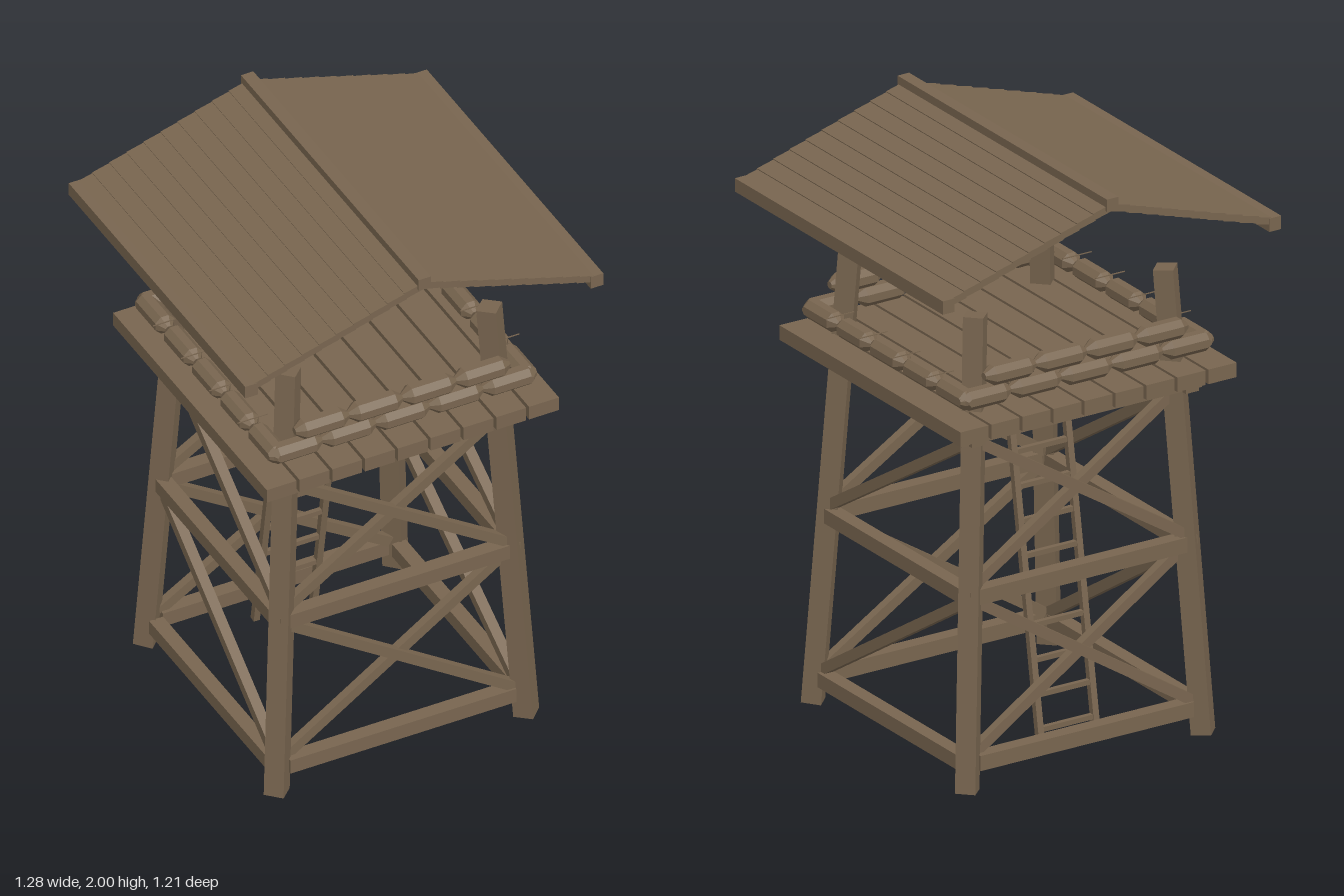
import * as THREE from 'three';

const wood = new THREE.MeshStandardMaterial({ color: 0x78654f, flatShading: true });
wood.name = 'weathered wood';

const V = (x, y, z) => new THREE.Vector3(x, y, z);

export function createModel() {
  const model = new THREE.Group();
  model.name = 'watchtower';

  const group = (name) => {
    const g = new THREE.Group();
    g.name = name;
    model.add(g);
    return g;
  };
  const add = (parent, name, geometry) => {
    const m = new THREE.Mesh(geometry, wood);
    m.name = name;
    parent.add(m);
    return m;
  };
  const box = (parent, name, w, h, d, x, y, z) => {
    const m = add(parent, name, new THREE.BoxGeometry(w, h, d));
    m.position.set(x, y, z);
    return m;
  };
  // Square timber between two points; hint sets which way one face looks
  const bar = (parent, name, a, b, w, d, hint) => {
    const m = add(parent, name, new THREE.BoxGeometry(w, a.distanceTo(b), d));
    const up = b.clone().sub(a).normalize();
    const side = up.clone().cross(hint).normalize();
    const face = side.clone().cross(up);
    m.quaternion.setFromRotationMatrix(new THREE.Matrix4().makeBasis(side, up, face));
    m.position.copy(a).add(b).multiplyScalar(0.5);
    return m;
  };

  // Four leaning legs, turned to face the diagonals
  const legs = group('legs');
  for (const sx of [-1, 1]) for (const sz of [-1, 1]) {
    bar(legs, 'leg', V(sx * 0.447, 0.005, sz * 0.447), V(sx * 0.36, 1.595, sz * 0.36),
      0.066, 0.066, V(sx, 0, sz));
  }

  // Three rings of horizontal beams
  const beams = group('beams');
  const rings = [[0.095, 0.81, 0.435], [0.657, 0.86, 0.415], [1.21, 0.91, 0.405]];
  for (const [y, length, offset] of rings) for (const s of [-1, 1]) {
    box(beams, 'crossBeam', length, 0.052, 0.05, 0, y, s * offset);
    box(beams, 'sideBeam', 0.05, 0.05, length - 0.01, s * offset, y - 0.002, 0);
  }

  // Crossed braces front and back, single diagonals on the sides
  const braces = group('braces');
  for (const [y0, y1, o0, o1] of [[0.12, 0.64, 0.43, 0.41], [0.68, 1.19, 0.41, 0.39]]) {
    for (const s of [-1, 1]) {
      for (const d of [-1, 1]) {
        bar(braces, 'crossBrace', V(-d * 0.41, y0, s * o0 - d * 0.008), V(d * 0.4, y1, s * o1 - d * 0.008),
          0.035, 0.03, V(0, 0, 1));
      }
      bar(braces, 'sideBrace', V(s * o0, y0, 0.41), V(s * o1, y1, -0.41), 0.035, 0.035, V(1, 0, 0));
    }
  }

  // Platform planks
  const deck = group('deck');
  for (let i = -4; i <= 4; i++) {
    box(deck, 'deckPlank', 0.107, 0.05, 1.05, i * 0.1175, 1.26, 0);
  }

  // Ladder leaning inside the back
  const ladder = group('ladder');
  const foot = V(0, 0.035, -0.352), head = V(0, 1.235, -0.152);
  for (const s of [-1, 1]) {
    const dx = V(s * 0.105, 0, 0);
    bar(ladder, 'ladderRail', foot.clone().add(dx), head.clone().add(dx), 0.022, 0.022, V(0, 0, 1));
  }
  for (let i = 0; i < 10; i++) {
    const y = 0.102 + i * 0.1128;
    const p = foot.clone().lerp(head, (y - foot.y) / (head.y - foot.y));
    box(ladder, 'ladderRung', 0.2, 0.017, 0.017, 0, p.y, p.z);
  }

  // Faceted sandbags with pinched ends
  const bags = group('sandbags');
  const profile = [[0, -0.096], [0.012, -0.096], [0.033, -0.066], [0.033, 0.066], [0.012, 0.096], [0, 0.096]]
    .map(([r, y]) => new THREE.Vector2(r, y));
  const bagGeometry = new THREE.LatheGeometry(profile, 8, Math.PI / 8).rotateZ(Math.PI / 2);
  bagGeometry.scale(1, 1.05, 1.1);
  const bagRow = (count, x, y, z, alongZ) => {
    for (let i = 0; i < count; i++) {
      const t = (i - (count - 1) / 2) * 0.192;
      const m = add(bags, 'sandbag', bagGeometry);
      m.position.set(alongZ ? x : t, y, alongZ ? z + t : z);
      if (alongZ) m.rotation.y = Math.PI / 2;
    }
  };
  for (const s of [-1, 1]) {
    bagRow(5, 0, 1.352, s * 0.447, false);
    bagRow(4, 0, 1.418, s * 0.447, false);
    bagRow(5, s * 0.447, 1.352, 0, true);
    // Thin ties over the side bags
    for (let i = -1.5; i <= 1.5; i++) {
      box(bags, 'tie', 0.11, 0.003, 0.003, s * 0.45, 1.385, i * 0.192);
    }
  }

  // Gabled roof of overlapping boards, with ridge and eave timbers
  const roof = group('roof');
  box(roof, 'ridgeBeam', 0.044, 0.042, 1.214, 0, 1.979, 0);
  for (const s of [-1, 1]) {
    for (let i = 0; i < 10; i++) {
      const x = 0.034 + i * 0.0612;
      const board = box(roof, 'roofBoard', 0.068, 0.024, 1.2, s * x, 1.967 - x * 0.312, 0);
      board.rotation.z = -s * 0.25;
    }
    box(roof, 'eaveBeam', 0.045, 0.046, 1.206, s * 0.619, 1.768, 0);
  }

  return model;
}
